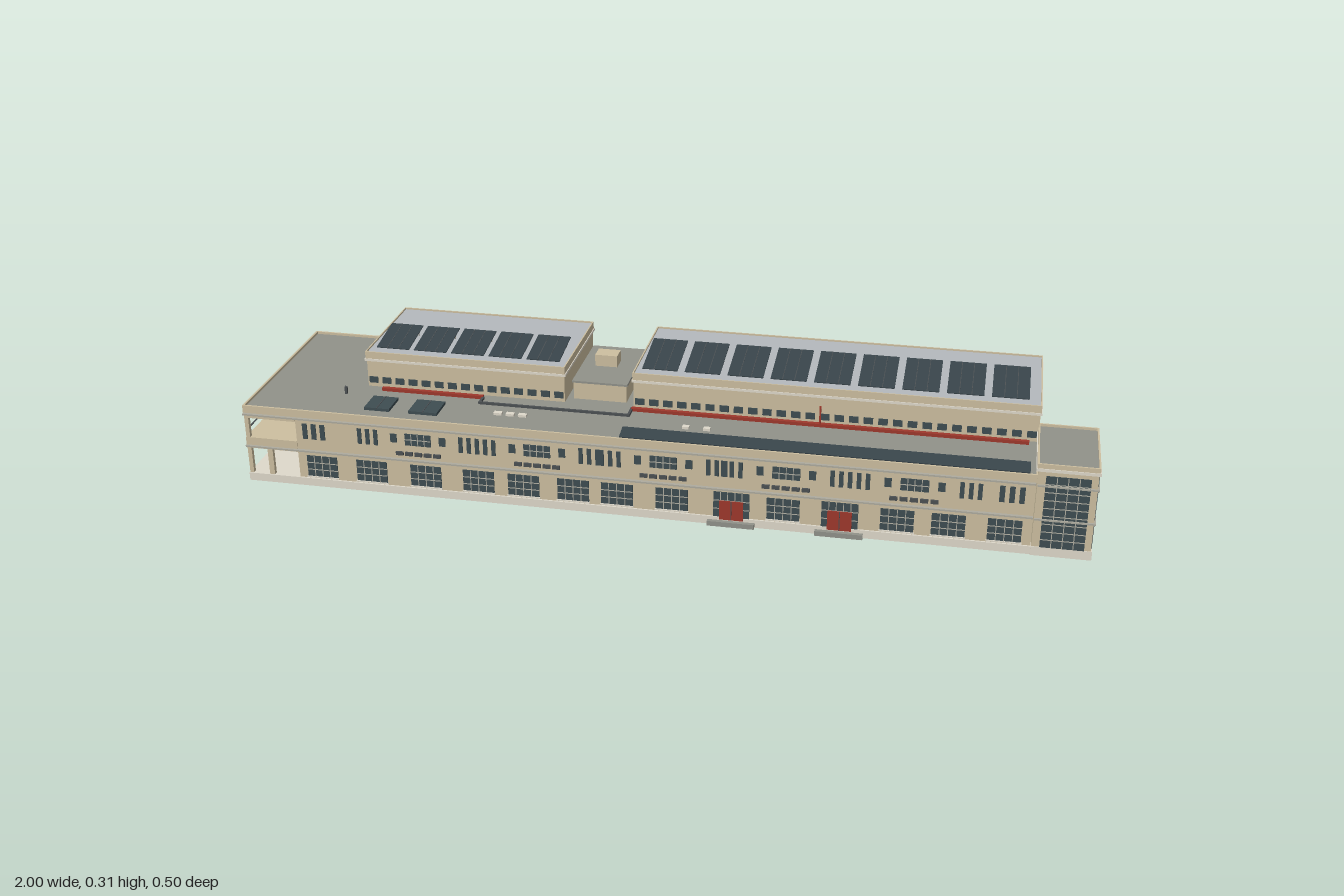
import * as THREE from 'three';

const mat = (name, color) => {
  const m = new THREE.MeshStandardMaterial({ color });
  m.name = name;
  return m;
};
const WALL = mat('sandstone wall', 0xcdbfa0);
const TRIM = mat('pale trim', 0xdfd9cb);
const ROOF = mat('grey roof', 0x91928a);
const MEMBRANE = mat('light roof', 0xb5b9bd);
const GLASS = mat('dark glass', 0x3e4d52);
const FRAME = mat('window frame', 0xaeab9f);
const RED = mat('red paint', 0x9e382c);
const SHUTTER = mat('grey shutter', 0x90928a);
const METAL = mat('dark metal', 0x4c5053);
const SOLAR = mat('solar panel', 0x38444a);

// Box given by its limits on each axis
function box(parent, name, m, x0, x1, y0, y1, z0, z1) {
  const mesh = new THREE.Mesh(new THREE.BoxGeometry(x1 - x0, y1 - y0, z1 - z0), m);
  mesh.position.set((x0 + x1) / 2, (y0 + y1) / 2, (z0 + z1) / 2);
  mesh.name = name;
  parent.add(mesh);
  return mesh;
}

// Glazed panel with a grid of bars, turned to face out of its wall
function pane(parent, name, x, y, z, w, h, cols, rows, turn = 0) {
  const g = new THREE.Group();
  g.name = name;
  box(g, 'glass', GLASS, -w / 2, w / 2, -h / 2, h / 2, -0.001, 0.001);
  const t = 0.001;
  for (let i = 1; i < cols; i++) {
    const u = -w / 2 + (w * i) / cols;
    box(g, 'mullion', FRAME, u - t, u + t, -h / 2, h / 2, 0, 0.002);
  }
  for (let j = 1; j < rows; j++) {
    const v = -h / 2 + (h * j) / rows;
    box(g, 'glazingBar', FRAME, -w / 2, w / 2, v - t, v + t, 0, 0.002);
  }
  g.position.set(x, y, z);
  g.rotation.y = turn;
  parent.add(g);
}

// Four low walls around a roof
function parapet(parent, x0, x1, y0, y1, z0, z1, t) {
  box(parent, 'parapetFront', WALL, x0, x1, y0, y1, z1 - t, z1);
  box(parent, 'parapetBack', WALL, x0, x1, y0, y1, z0, z0 + t);
  box(parent, 'parapetLeft', WALL, x1 - t, x1, y0, y1, z0 + t, z1 - t);
  box(parent, 'parapetRight', WALL, x0, x0 + t, y0, y1, z0 + t, z1 - t);
}

function mainBlock(root) {
  const g = new THREE.Group();
  g.name = 'mainBlock';
  root.add(g);
  box(g, 'plinth', TRIM, -1, 0.868, 0, 0.02, -0.232, 0.242);
  box(g, 'walls', WALL, -0.87, 0.865, 0.02, 0.19, -0.23, 0.238);
  box(g, 'roofDeck', ROOF, -0.995, 0.865, 0.189, 0.193, -0.23, 0.238);
  parapet(g, -1, 0.868, 0.18, 0.199, -0.232, 0.241, 0.005);
  for (const y of [0.093, 0.177]) {
    box(g, 'frontStringCourse', FRAME, -1, 0.864, y - 0.002, y + 0.002, 0.237, 0.246);
  }
  box(g, 'rearStringCourse', FRAME, -1, 0.868, 0.175, 0.179, -0.234, -0.229);
  box(g, 'endStringCourse', FRAME, 0.86, 0.87, 0.174, 0.18, -0.233, 0.04);

  // Open loggia at the end
  const l = new THREE.Group();
  l.name = 'loggia';
  g.add(l);
  box(l, 'middleFloor', WALL, -1, -0.87, 0.087, 0.115, -0.231, 0.24);
  box(l, 'ceilingBeam', WALL, -0.999, -0.87, 0.166, 0.189, -0.231, 0.239);
  for (const z of [-0.226, 0.006, 0.234]) {
    box(l, 'column', WALL, -0.999, -0.989, 0.02, 0.17, z - 0.005, z + 0.005);
  }
  for (const z of [-0.226, 0.234]) {
    box(l, 'lowerColumn', WALL, -0.948, -0.935, 0.02, 0.088, z - 0.005, z + 0.005);
  }
  box(l, 'handrail', METAL, -0.997, -0.994, 0.134, 0.136, -0.226, 0.234);
  pane(l, 'loggiaWindow', -0.871, 0.055, 0, 0.06, 0.06, 3, 2, -Math.PI / 2);
}

function frontFacade(root) {
  const g = new THREE.Group();
  g.name = 'frontFacade';
  root.add(g);
  const z = 0.239;
  const bays = [-0.81, -0.685, -0.55, -0.42, -0.31, -0.19, -0.085, 0.045, 0.305, 0.565, 0.68, 0.805];
  for (const x of bays) {
    pane(g, 'groundWindow', x, 0.053, z, 0.076, 0.054, 4, 3);
    box(g, 'windowSill', TRIM, x - 0.04, x + 0.04, 0.023, 0.026, z, z + 0.004);
  }
  // Red entrances with glazed surrounds and steps
  for (const x of [0.185, 0.435]) {
    pane(g, 'entranceGlazing', x, 0.052, z, 0.084, 0.064, 5, 3);
    box(g, 'entranceDoor', RED, x - 0.028, x + 0.028, 0.014, 0.063, z, z + 0.004);
    box(g, 'doorGap', METAL, x - 0.001, x + 0.001, 0.014, 0.063, z, z + 0.005);
    box(g, 'entranceStep', ROOF, x - 0.055, x + 0.055, 0, 0.012, z, 0.252);
  }
  // Upper storey: wide windows with planters between sets of slits
  [-0.565, -0.275, 0.025, 0.31, 0.6].forEach((x) => {
    pane(g, 'upperWindow', x, 0.146, z, 0.064, 0.03, 4, 2);
    for (const s of [-1, 1]) {
      for (let i = -1; i <= 1; i++) {
        const u = x + s * 0.125 + i * 0.02;
        box(g, 'slitWindow', GLASS, u - 0.005, u + 0.005, 0.124, 0.164, z - 0.001, z + 0.001);
      }
      box(g, 'smallWindow', GLASS, x + s * 0.06 - 0.008, x + s * 0.06 + 0.008, 0.136, 0.158, z - 0.001, z + 0.001);
    }
    for (let i = -2; i <= 2; i++) {
      box(g, 'planter', METAL, x + i * 0.023 - 0.009, x + i * 0.023 + 0.009, 0.105, 0.114, z, z + 0.005);
    }
  });
  for (const x of [-0.825, 0.815]) {
    for (let i = -1; i <= 1; i++) {
      box(g, 'slitWindow', GLASS, x + i * 0.022 - 0.006, x + i * 0.022 + 0.006, 0.124, 0.164, z - 0.001, z + 0.001);
    }
  }
}

function rearAndEnd(root) {
  const g = new THREE.Group();
  g.name = 'rearAndEnd';
  root.add(g);
  for (const x of [0.81, 0.58, 0.19, -0.08, -0.42, -0.52, -0.73]) {
    pane(g, 'rearWindow', x, 0.065, -0.231, 0.055, 0.042, 3, 2, Math.PI);
  }
  for (const x of [0.68, 0.43, 0.31, 0.05, -0.18, -0.3, -0.62, -0.82]) {
    box(g, 'rearShutter', SHUTTER, x - 0.035, x + 0.035, 0.012, 0.085, -0.234, -0.229);
  }
  for (const x of [0.68, 0.43, 0.31, -0.18, -0.3, -0.82]) {
    box(g, 'rearAwning', FRAME, x - 0.05, x + 0.05, 0.1, 0.103, -0.249, -0.23);
  }
  for (const x of [0.52, 0.12, -0.36, -0.66]) {
    box(g, 'drainpipe', FRAME, x - 0.0015, x + 0.0015, 0.01, 0.195, -0.234, -0.23);
  }
  for (const z of [-0.012, -0.095, -0.178]) {
    pane(g, 'endWindow', 0.866, 0.093, z, 0.052, 0.128, 2, 4, Math.PI / 2);
    box(g, 'endSill', TRIM, 0.865, 0.87, 0.026, 0.029, z - 0.026, z + 0.026);
  }
}

function stairTower(root) {
  const g = new THREE.Group();
  g.name = 'stairTower';
  root.add(g);
  box(g, 'towerPlinth', TRIM, 0.865, 1, 0, 0.022, 0.038, 0.245);
  box(g, 'towerWalls', WALL, 0.866, 0.997, 0.022, 0.222, 0.04, 0.243);
  box(g, 'towerRoof', ROOF, 0.867, 0.997, 0.221, 0.224, 0.038, 0.245);
  parapet(g, 0.863, 0.999, 0.212, 0.23, 0.036, 0.247, 0.004);
  box(g, 'towerBand', TRIM, 0.861, 1.001, 0.212, 0.219, 0.034, 0.249);
  pane(g, 'towerSideGlazing', 0.998, 0.111, 0.142, 0.178, 0.178, 6, 9, Math.PI / 2);
  pane(g, 'towerFrontGlazing', 0.933, 0.111, 0.244, 0.098, 0.178, 4, 9);
  for (const y of [0.092, 0.176]) {
    box(g, 'towerStringCourse', FRAME, 0.867, 1.001, y - 0.002, y + 0.002, 0.041, 0.248);
  }
  pane(g, 'towerRearWindow', 0.935, 0.125, 0.039, 0.024, 0.04, 2, 2, Math.PI);
}

// Set-back storey with clerestory windows and tilted solar panels
function penthouse(root, x0, x1, count, first, pitch, width, zBack) {
  const g = new THREE.Group();
  g.name = 'penthouse';
  root.add(g);
  box(g, 'penthouseWalls', WALL, x0 + 0.002, x1 - 0.002, 0.19, 0.278, -0.23, 0.06);
  box(g, 'penthouseRoof', MEMBRANE, x0 + 0.003, x1 - 0.003, 0.277, 0.281, -0.23, 0.062);
  parapet(g, x0, x1, 0.262, 0.285, -0.232, 0.063, 0.003);
  box(g, 'penthouseBand', TRIM, x0 - 0.002, x1 + 0.002, 0.261, 0.267, -0.234, 0.065);
  const n = Math.round((x1 - x0) / 0.034);
  for (let i = 0; i < n; i++) {
    const x = x0 + ((i + 0.5) * (x1 - x0)) / n;
    box(g, 'clerestoryWindow', GLASS, x - 0.011, x + 0.011, 0.203, 0.219, 0.06, 0.062);
  }
  const zFront = 0.035, run = zFront - zBack, rise = 0.15 * run;
  for (let i = 0; i < count; i++) {
    const p = new THREE.Group();
    p.name = 'solarArray';
    p.position.set(first + i * pitch + width / 2, 0.286 + rise / 2, (zFront + zBack) / 2);
    const tilt = new THREE.Group();
    tilt.name = 'solarPanel';
    tilt.rotation.x = Math.atan2(rise, run);
    p.add(tilt);
    box(tilt, 'cells', SOLAR, -width / 2, width / 2, -0.001, 0.001, -run / 2, run / 2);
    for (const u of [-width / 6, width / 6]) {
      box(tilt, 'panelSeam', METAL, u - 0.0008, u + 0.0008, 0, 0.0015, -run / 2, run / 2);
    }
    for (const u of [-0.4, 0.4]) {
      box(p, 'panelLeg', FRAME, u * width - 0.001, u * width + 0.001, -rise / 2 - 0.006, rise * 0.35, -run * 0.38, -run * 0.36);
    }
    g.add(p);
  }
}

function roofDetails(root) {
  const g = new THREE.Group();
  g.name = 'roofDetails';
  root.add(g);
  // Plant room between the penthouses
  box(g, 'plantRoom', WALL, -0.236, -0.106, 0.19, 0.238, -0.18, 0.035);
  box(g, 'plantRoomRoof', ROOF, -0.239, -0.103, 0.236, 0.241, -0.183, 0.038);
  box(g, 'ventHousing', WALL, -0.205, -0.15, 0.24, 0.27, -0.1, -0.06);
  // Pipes along the foot of the set-back storey
  box(g, 'redPipe', RED, -0.705, -0.45, 0.193, 0.201, 0.074, 0.084);
  box(g, 'redPipe', RED, -0.085, 0.845, 0.193, 0.201, 0.07, 0.08);
  box(g, 'darkPipe', METAL, -0.453, -0.447, 0.193, 0.199, 0.08, 0.112);
  box(g, 'darkPipe', METAL, -0.45, -0.085, 0.193, 0.199, 0.107, 0.112);
  box(g, 'darkPipe', METAL, -0.088, -0.082, 0.193, 0.199, 0.07, 0.112);
  box(g, 'fluePipe', RED, 0.363, 0.367, 0.193, 0.245, 0.075, 0.078);
  // Skylights and the long strip of panels by the front edge
  for (const [x0, x1] of [[-0.71, -0.648], [-0.6, -0.53]]) {
    box(g, 'skylight', GLASS, x0, x1, 0.193, 0.2, 0.128, 0.196);
    box(g, 'skylightBar', METAL, (x0 + x1) / 2 - 0.001, (x0 + x1) / 2 + 0.001, 0.193, 0.201, 0.128, 0.196);
  }
  const strip = box(g, 'solarStrip', SOLAR, -0.08, 0.85, 0.2, 0.203, 0.192, 0.232);
  strip.rotation.x = 0.2;
  for (let i = 0; i < 3; i++) {
    box(g, 'roofVent', TRIM, -0.4 + i * 0.03, -0.38 + i * 0.03, 0.193, 0.199, 0.152, 0.164);
  }
  for (const x of [0.06, 0.11]) box(g, 'roofVent', TRIM, x - 0.008, x + 0.008, 0.193, 0.199, 0.14, 0.152);
  box(g, 'ventPipe', METAL, -0.788, -0.782, 0.193, 0.212, 0.112, 0.118);
}

export function createModel() {
  const root = new THREE.Group();
  root.name = 'building';
  mainBlock(root);
  frontFacade(root);
  rearAndEnd(root);
  stairTower(root);
  penthouse(root, -0.75, -0.25, 5, -0.73, 0.0945, 0.082, -0.08);
  penthouse(root, -0.085, 0.867, 9, -0.067, 0.1025, 0.085, -0.104);
  roofDetails(root);
  return root;
}
